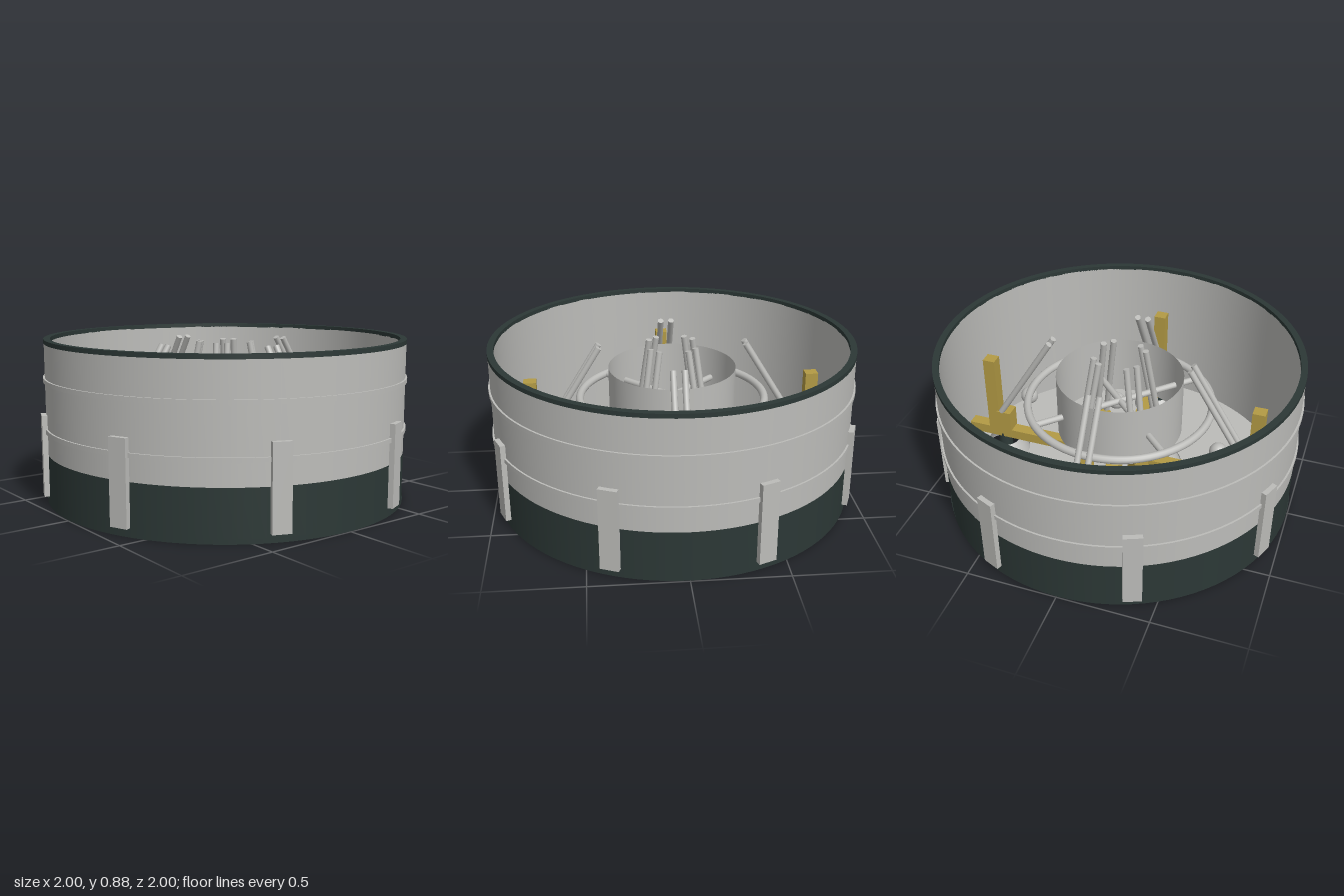
import * as THREE from 'three';

const mat = (name, color) => {
  const m = new THREE.MeshStandardMaterial({ color, side: THREE.DoubleSide });
  m.name = name;
  return m;
};

export function createModel() {
  const grey = mat('light grey', 0xbcbcb9);
  const dark = mat('dark green grey', 0x2c3836);
  const gold = mat('dull gold', 0xb39b45);
  const model = new THREE.Group();

  const add = (parent, name, geo, material, x = 0, y = 0, z = 0) => {
    const mesh = new THREE.Mesh(geo, material);
    mesh.name = name;
    mesh.position.set(x, y, z);
    parent.add(mesh);
    return mesh;
  };
  const group = (name, angle) => {
    const g = new THREE.Group();
    g.name = name;
    g.rotation.y = angle;
    model.add(g);
    return g;
  };
  // Surface of revolution through [radius, height] pairs
  const lathe = (parent, name, material, pts, seg = 96) =>
    add(parent, name, new THREE.LatheGeometry(pts.map(p => new THREE.Vector2(...p)), seg), material);
  // Straight round bar between two points
  const bar = (parent, name, material, a, b, r) => {
    const p = new THREE.Vector3(...a), q = new THREE.Vector3(...b);
    const d = q.clone().sub(p);
    const m = add(parent, name, new THREE.CylinderGeometry(r, r, d.length(), 12), material);
    m.position.copy(p).add(q).multiplyScalar(0.5);
    m.quaternion.setFromUnitVectors(new THREE.Vector3(0, 1, 0), d.normalize());
  };

  // Outer shell
  const R = 0.99, RI = 0.957;
  lathe(model, 'lowerShell', dark, [[R, 0], [R, 0.27]]);
  lathe(model, 'upperShell', grey, [[R, 0.27], [R, 0.865]]);
  lathe(model, 'innerWall', grey, [[RI, 0.865], [RI, 0.02]]);
  lathe(model, 'topRimOuter', dark, [[R + 0.002, 0.862], [R + 0.002, 0.885]]);
  lathe(model, 'topRimFace', dark, [[R + 0.002, 0.885], [RI, 0.885]]);
  lathe(model, 'topRimInner', dark, [[RI, 0.885], [RI, 0.862]]);
  lathe(model, 'bottomRimFace', dark, [[0.965, 0], [R + 0.004, 0]]);
  lathe(model, 'bottomRimOuter', dark, [[R + 0.004, 0], [R + 0.004, 0.025]]);
  lathe(model, 'bottomRimInner', dark, [[0.965, 0.02], [0.965, 0]]);

  // Raised hoops
  for (const y of [0.4, 0.667]) {
    lathe(model, 'hoopUnderside', grey, [[R, y - 0.012], [1, y - 0.012]]);
    lathe(model, 'hoop', grey, [[1, y - 0.012], [1, y + 0.012]]);
    lathe(model, 'hoopTop', grey, [[1, y + 0.012], [R, y + 0.012]]);
  }

  // Eight vertical brackets around the skirt
  for (let i = 0; i < 8; i++) {
    const g = group('bracketMount', (i + 0.5) * Math.PI / 4);
    add(g, 'bracket', new THREE.BoxGeometry(0.05, 0.44, 0.098), grey, 0.992, 0.265, 0);
  }

  // Engine positions: four outer on the axes, four inner on the diagonals
  const engines = [];
  for (let i = 0; i < 4; i++) {
    engines.push({ a: i * Math.PI / 2, r: 0.735, top: 0.4, ball: 0.59 });
    engines.push({ a: (i + 0.5) * Math.PI / 2, r: 0.247, top: 0.14, ball: 0.198 });
  }

  // Floor pierced by the nozzles
  const disc = new THREE.Shape().absarc(0, 0, 0.965, 0, Math.PI * 2);
  for (const { a, r } of engines) {
    disc.holes.push(new THREE.Path().absarc(r * Math.cos(a), r * Math.sin(a), 0.143, 0, Math.PI * 2, true));
  }
  const floor = new THREE.ExtrudeGeometry(disc, { depth: 0.015, bevelEnabled: false, curveSegments: 48 });
  floor.rotateX(-Math.PI / 2);
  add(model, 'floor', floor, grey, 0, 0.015, 0);

  // Engines
  for (const { a, r, top, ball } of engines) {
    const g = group('engine', a);
    const bell = lathe(g, 'nozzle', grey, [[0.145, 0.012], [0.135, 0.04], [0.115, 0.075], [0.09, 0.11]], 32);
    bell.position.x = r;
    add(g, 'injector', new THREE.CylinderGeometry(0.035, 0.045, 0.1, 8), dark, r, 0.11, 0);
    add(g, 'engineBlock', new THREE.BoxGeometry(0.085, 0.16, 0.085), gold, r - 0.02, 0.24, 0);
    for (const s of [-1, 1]) {
      bar(g, 'feedPipe', grey, [r - 0.005, 0.32, s * 0.03], [top, 0.855, s * 0.03], 0.017);
    }
    add(g, 'pressureSphere', new THREE.SphereGeometry(0.05, 24, 16), grey, ball, 0.4, 0.074);
  }

  // Crossed beams with upright posts
  add(model, 'beam', new THREE.BoxGeometry(1.89, 0.06, 0.068), gold, 0, 0.165, 0);
  add(model, 'crossBeam', new THREE.BoxGeometry(0.068, 0.058, 1.89), gold, 0, 0.165, 0);
  for (let i = 0; i < 4; i++) {
    const g = group('postMount', i * Math.PI / 2);
    add(g, 'post', new THREE.BoxGeometry(0.07, 0.5, 0.068), gold, 0.782, 0.415, 0);
  }

  // Central sleeve, ring and spokes
  lathe(model, 'sleeve', grey, [[0.35, 0.38], [0.35, 0.73]], 64);
  const ring = new THREE.TorusGeometry(0.513, 0.022, 12, 80);
  ring.rotateX(Math.PI / 2);
  add(model, 'ring', ring, grey, 0, 0.55, 0);
  for (let i = 0; i < 2; i++) {
    const g = group('spokePair', (i + 0.5) * Math.PI / 2);
    bar(g, 'spoke', grey, [-0.505, 0.55, 0], [0.505, 0.55, 0], 0.018);
  }
  return model;
}
